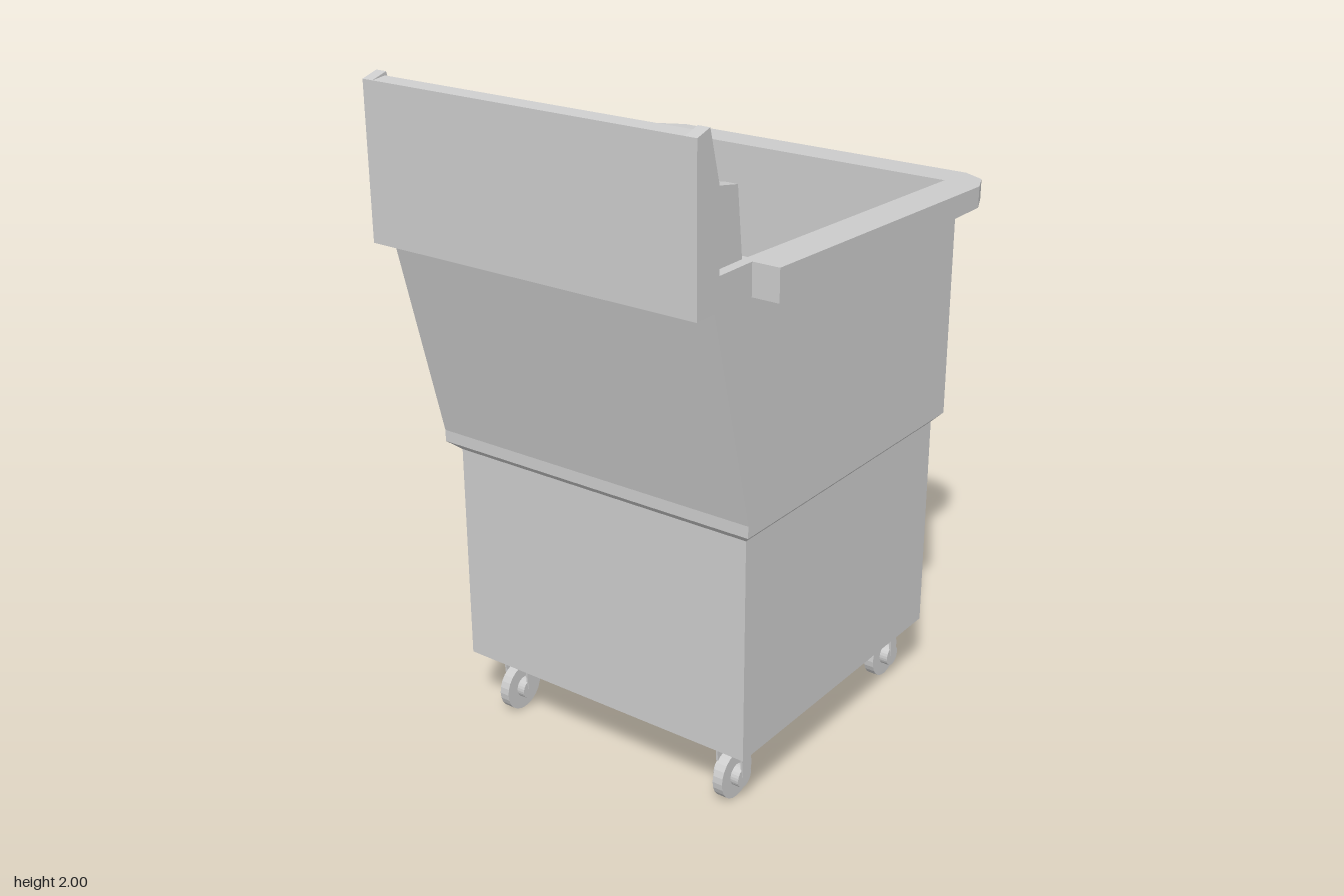
import * as THREE from 'three';

const grey = new THREE.MeshStandardMaterial({ color: 0xcccccc, flatShading: true });

function add(parent, name, geometry) {
  const mesh = new THREE.Mesh(geometry, grey);
  mesh.name = name;
  parent.add(mesh);
  return mesh;
}

// Faceted skin through rings of [x, y, z] points, each counter-clockwise from above
function loft(rings, capStart = true, capEnd = true) {
  const pos = [];
  const tri = (a, b, c) => pos.push(...a, ...b, ...c);
  const n = rings[0].length;
  for (let r = 0; r + 1 < rings.length; r++) {
    for (let i = 0; i < n; i++) {
      const j = (i + 1) % n, lo = rings[r], hi = rings[r + 1];
      tri(lo[i], lo[j], hi[j]);
      tri(lo[i], hi[j], hi[i]);
    }
  }
  const first = rings[0], last = rings[rings.length - 1];
  for (let i = 1; i + 1 < n; i++) {
    if (capStart) tri(first[0], first[i + 1], first[i]);
    if (capEnd) tri(last[0], last[i], last[i + 1]);
  }
  const g = new THREE.BufferGeometry();
  g.setAttribute('position', new THREE.Float32BufferAttribute(pos, 3));
  g.computeVertexNormals();
  return g;
}

// Rectangular ring with optional chamfers c on the two -z corners
function ring(y, x, zPlus, zMinus, c = 0) {
  return [[x, y, zPlus], [x, y, zMinus + c], [x - c, y, zMinus],
    [c - x, y, zMinus], [-x, y, zMinus + c], [-x, y, zPlus]];
}

// Side profile of [z, y] points extruded across x0..x1
function slab(profile, x0, x1) {
  const shape = new THREE.Shape(profile.map(([z, y]) => new THREE.Vector2(z, y)));
  const g = new THREE.ExtrudeGeometry(shape, { depth: x1 - x0, bevelEnabled: false });
  return g.rotateY(-Math.PI / 2).translate(x1, 0, 0);
}

// Outer rim with opening; its top falls gently towards -z
function rimGeometry() {
  const half = [[0.605, 0.455], [0.605, -0.555], [0.57, -0.635], [0.5, -0.675]];
  const outline = [...half, ...half.slice().reverse().map(([x, z]) => [-x, z])];
  const toShape = ([x, z]) => new THREE.Vector2(x, -z);
  const shape = new THREE.Shape(outline.map(toShape));
  shape.holes.push(new THREE.Path(
    [[0.495, 0.43], [-0.495, 0.43], [-0.495, -0.555], [0.495, -0.555]].map(toShape)));
  const g = new THREE.ExtrudeGeometry(shape, { depth: 0.09, bevelEnabled: false });
  g.rotateX(-Math.PI / 2).translate(0, 1.55, 0);
  const p = g.attributes.position;
  for (let i = 0; i < p.count; i++) {
    if (p.getY(i) > 1.6) p.setY(i, 1.64 - (0.455 - p.getZ(i)) * 0.028);
  }
  g.computeVertexNormals();
  return g;
}

function makeAgitator() {
  const group = new THREE.Group();
  group.name = 'agitator';
  group.position.set(0, 0.9, -0.07);
  const sq = (y, s) => ring(y, s, s, -s);
  add(group, 'agitatorHub', loft([sq(0, 0.19), sq(0.3, 0.125), sq(0.36, 0.06), sq(0.42, 0.06),
    sq(0.44, 0.035)]));
  // Four swept wedge fins
  for (let k = 0; k < 4; k++) {
    const h = 0.18;
    const lower = [[0.19, 0, -0.19], [0.12, 0, -0.3], [-0.305, 0, -0.3], [-0.12, 0, -0.19]];
    const c = [0.19, h, -0.19], d = [-0.12, h, -0.19];
    add(group, 'agitatorFin', loft([lower, [c, c, d, d]], true, false)).rotation.y = k * Math.PI / 2;
  }
  return group;
}

function makeConsole() {
  const group = new THREE.Group();
  group.name = 'controlConsole';
  add(group, 'backPlate', slab([[0.64, 1.55], [0.68, 1.55], [0.68, 1.985], [0.635, 1.99]], -0.51, 0.51));
  add(group, 'controlPanel',
    slab([[0.45, 1.55], [0.645, 1.55], [0.645, 1.83], [0.635, 1.83], [0.49, 1.73], [0.45, 1.63]], -0.49, 0.49));
  for (const s of [-1, 1]) {
    const span = (a, b) => (s > 0 ? [a, b] : [-b, -a]);
    add(group, 'sidePost', slab([[0.455, 1.55], [0.68, 1.55], [0.68, 1.985], [0.63, 2],
      [0.59, 1.85], [0.59, 1.64], [0.455, 1.64]], ...span(0.49, 0.525)));
    add(group, 'sideWing', slab([[0.45, 1.6], [0.645, 1.6], [0.645, 1.855], [0.59, 1.85],
      [0.475, 1.83]], ...span(0.455, 0.495)));
  }
  // Dial and buttons stand square to the sloped panel
  const normal = new THREE.Vector3(0, 0.145, -0.1).normalize();
  const tilt = new THREE.Quaternion().setFromUnitVectors(new THREE.Vector3(0, 1, 0), normal);
  const control = (name, x, z, r0, r1, h, sides, lift = 0) => {
    const m = add(group, name, new THREE.CylinderGeometry(r1, r0, h, sides));
    m.quaternion.copy(tilt);
    m.position.set(x, 1.73 + (z - 0.49) * 0.69, z).addScaledVector(normal, lift + h / 2 - 0.005);
  };
  control('dialBase', -0.22, 0.57, 0.055, 0.055, 0.012, 16);
  control('dial', -0.22, 0.57, 0.042, 0.052, 0.06, 8, 0.007);
  for (const x of [0.135, 0.245]) control('button', x, 0.575, 0.026, 0.024, 0.02, 12);
  return group;
}

function makeCaster() {
  const group = new THREE.Group();
  group.name = 'caster';
  const disc = (r, w) => new THREE.CylinderGeometry(r, r, w, 24).rotateZ(Math.PI / 2).translate(0, 0.075, 0);
  add(group, 'wheel', disc(0.073, 0.032));
  add(group, 'wheelHub', disc(0.032, 0.084));
  for (const s of [-1, 1]) {
    add(group, 'forkPlate', slab([[-0.013, 0.08], [0.013, 0.08], [0.022, 0.2], [-0.022, 0.2]],
      s * 0.042 - 0.003, s * 0.042 + 0.003));
  }
  return group;
}

export function createModel() {
  const model = new THREE.Group();
  model.name = 'washer';

  // Cabinet below, flaring out into the wider tub housing
  add(model, 'cabinet', loft([ring(0.2, 0.495, 0.42, -0.555), ring(0.87, 0.495, 0.42, -0.555)]));
  add(model, 'tubHousing', loft([
    ring(0.87, 0.495, 0.42, -0.555, 0.005),
    ring(0.9, 0.525, 0.455, -0.595, 0.02),
    ring(0.935, 0.525, 0.455, -0.595, 0.02),
    ring(1.55, 0.525, 0.61, -0.595, 0.02),
  ], true, false));

  // Inside of the tub, facing inwards
  add(model, 'tubInterior', loft([ring(1.56, 0.495, 0.43, -0.555), ring(0.9, 0.495, 0.43, -0.555)], false, true));
  add(model, 'rim', rimGeometry());

  model.add(makeAgitator(), makeConsole());

  for (const x of [-0.395, 0.395]) {
    for (const z of [0.325, -0.495]) {
      const caster = makeCaster();
      caster.position.set(x, 0, z);
      model.add(caster);
    }
  }
  return model;
}
